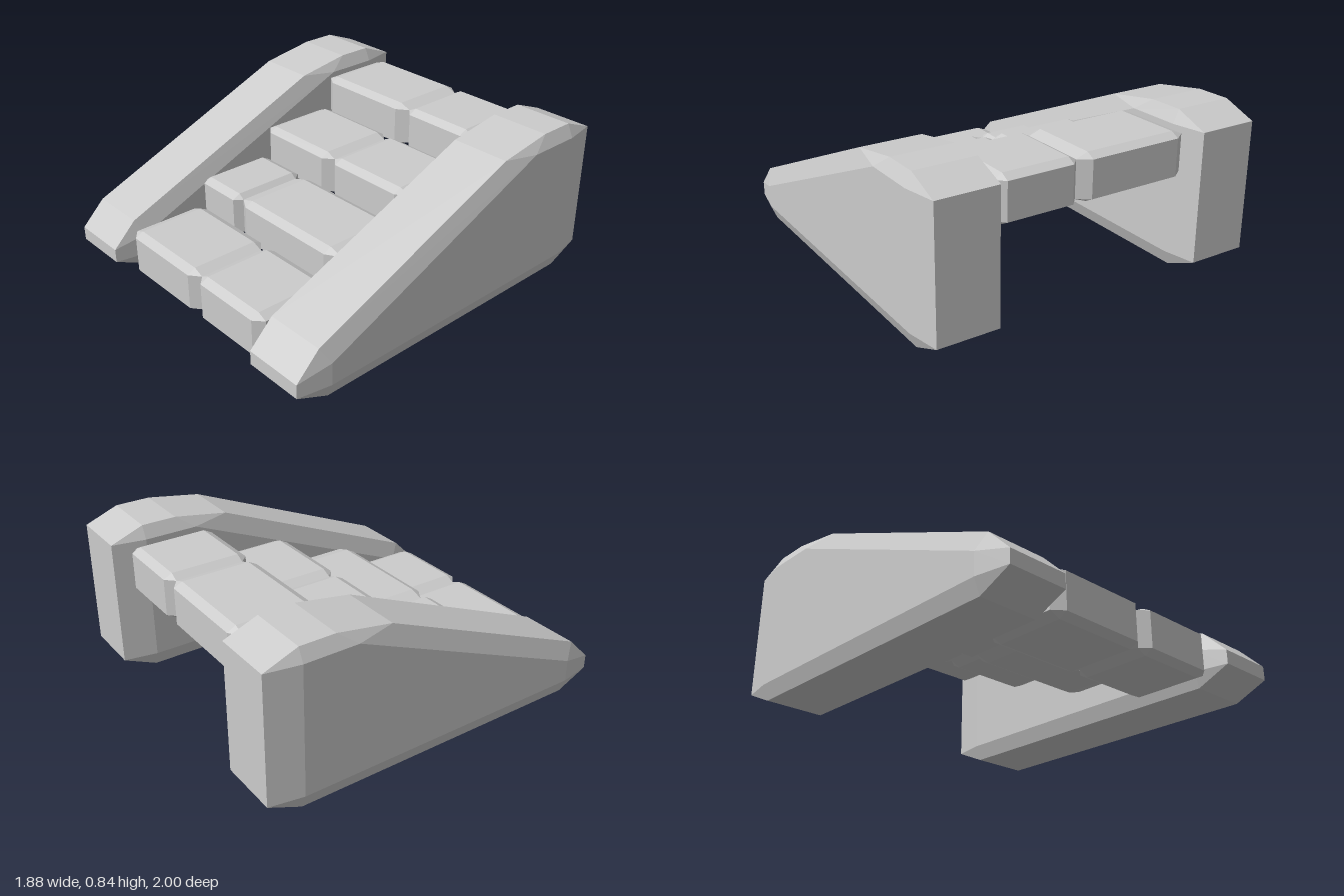
import * as THREE from 'three';
import { ConvexGeometry } from 'three/addons/geometries/ConvexGeometry.js';

const material = new THREE.MeshStandardMaterial({ color: 0xcccccc, flatShading: true });

function hullMesh(points, name) {
  const mesh = new THREE.Mesh(new ConvexGeometry(points), material);
  mesh.name = name;
  return mesh;
}

// Sloping side wall: full outline on the core, smaller outline on the outer faces.
function sideWall(name) {
  const core = [[1, 0.08], [1, 0.155], [0.87, 0.285], [-0.33, 0.79], [-0.63, 0.84],
    [-0.82, 0.84], [-1, 0.77], [-1, 0.08], [-0.82, 0], [0.82, 0]];
  const face = [[0.82, 0.08], [0.82, 0.2], [-0.53, 0.77], [-0.82, 0.77], [-0.82, 0.08]];
  const points = [];
  for (const s of [-1, 1]) {
    for (const [z, y] of core) points.push(new THREE.Vector3(s * 0.162, y, z));
    for (const [z, y] of face) points.push(new THREE.Vector3(s * 0.195, y, z));
  }
  return hullMesh(points, name);
}

// Stone block with every edge bevelled in proportion to its size.
function stoneBlock(w, h, d, name) {
  const inner = 0.4;
  const points = [];
  for (const x of [-1, 1]) for (const y of [-1, 1]) for (const z of [-1, 1]) {
    for (let axis = 0; axis < 3; axis++) {
      const k = [inner, inner, inner];
      k[axis] = 0.5;
      points.push(new THREE.Vector3(x * k[0] * w, y * k[1] * h, z * k[2] * d));
    }
  }
  return hullMesh(points, name);
}

export function createModel() {
  const model = new THREE.Group();
  model.name = 'stoneStairs';

  // Side walls
  for (const [name, x] of [['leftWall', 0.742], ['rightWall', -0.743]]) {
    const wall = sideWall(name);
    wall.position.x = x;
    model.add(wall);
  }

  // Steps, front to back: two blocks each, meeting at a different seam
  const steps = [
    { z0: 0.46, z1: 0.92, top: 0.26, seam: 0.04 },
    { z0: 0.0, z1: 0.45, top: 0.41, seam: -0.228 },
    { z0: -0.462, z1: 0.0, top: 0.583, seam: -0.005 },
    { z0: -0.925, z1: -0.465, top: 0.763, seam: 0.092 },
  ];
  const height = 0.245;
  steps.forEach(({ z0, z1, top, seam }, i) => {
    const step = new THREE.Group();
    step.name = `step${i + 1}`;
    for (const [x0, x1, name] of [[-0.55, seam, 'rightBlock'], [seam, 0.54, 'leftBlock']]) {
      const block = stoneBlock(x1 - x0, height, z1 - z0, name);
      block.position.set((x0 + x1) / 2, top - height / 2, (z0 + z1) / 2);
      step.add(block);
    }
    model.add(step);
  });

  return model;
}
